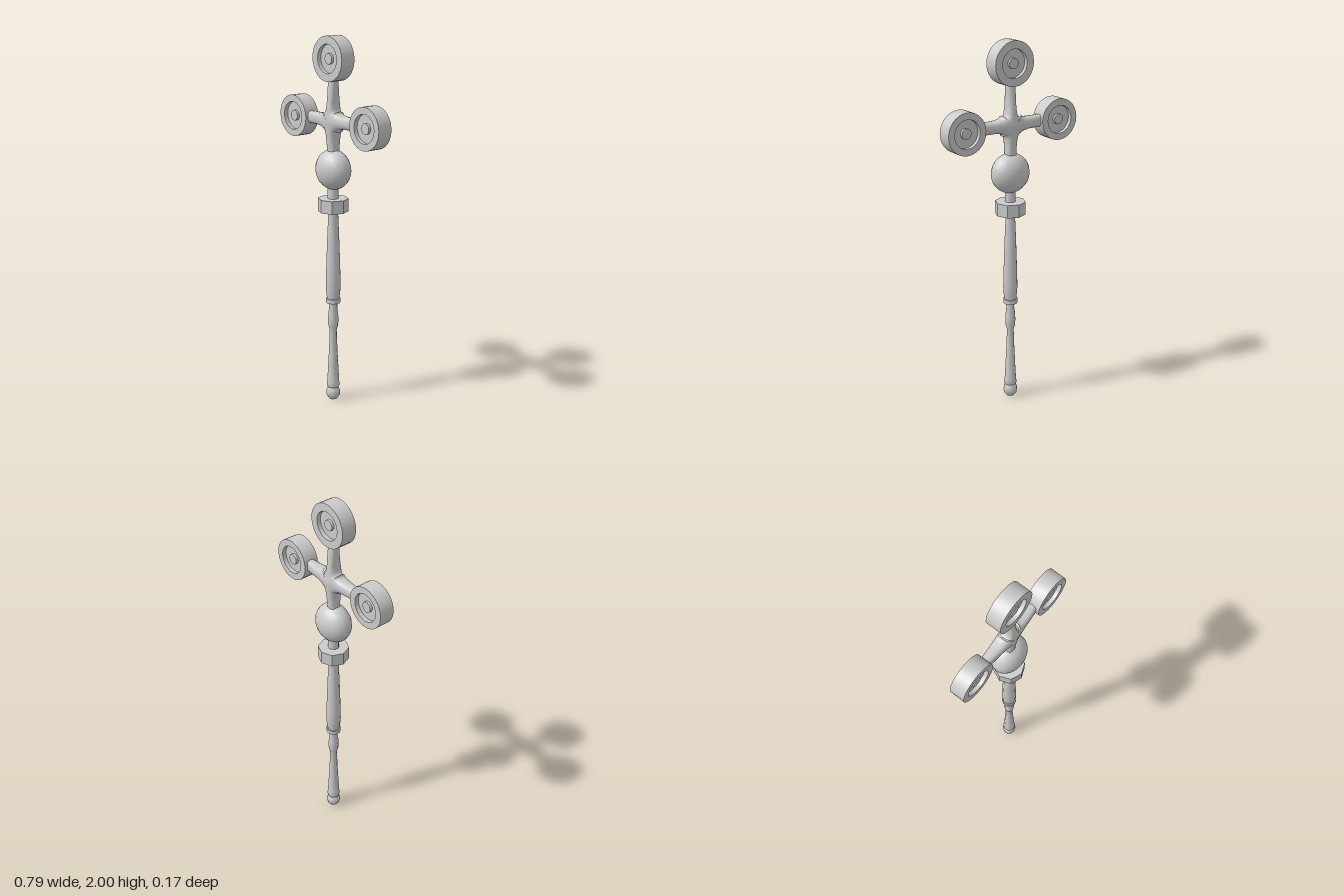
import * as THREE from 'three';
import { toCreasedNormals } from 'three/addons/utils/BufferGeometryUtils.js';

const material = new THREE.MeshStandardMaterial({ color: 0xcccccc });

function addMesh(parent, name, geometry, x = 0, y = 0, z = 0) {
  const mesh = new THREE.Mesh(geometry, material);
  mesh.name = name;
  mesh.position.set(x, y, z);
  parent.add(mesh);
  return mesh;
}

// Turned part: profile of [radius, height] pairs, bottom to top
function turned(profile, sides, crease = 0.85) {
  const points = profile.map(([r, y]) => new THREE.Vector2(r, y));
  return toCreasedNormals(new THREE.LatheGeometry(points, sides), crease);
}

// Disc facing z, with a recessed ring and a central boss on both faces
function discGeometry(radius) {
  const half = [[0, 0.034], [0.028, 0.034], [0.028, 0.02], [0.075, 0.02], [0.075, 0.042], [radius, 0.042]];
  const bottom = half.map(([r, y]) => [r, -y]);
  return turned([...bottom, ...half.reverse()], 28, 0.6).rotateX(Math.PI / 2);
}

// One arm of the cross along +y: rounded sections flaring to a mitred centre
function armGeometry(length, endWidth, endDepth) {
  const sides = 16, steps = 12, flare = 0.075;
  const start = endWidth + flare * (1 - Math.SQRT1_2);
  const round = (v) => Math.sign(v) * Math.pow(Math.abs(v), 0.7);
  const positions = [], index = [];
  for (let i = 0; i <= steps; i++) {
    const bend = Math.min(i / (steps - 3), 1);
    const d = i <= steps - 3
      ? start + bend * flare * Math.SQRT1_2
      : THREE.MathUtils.lerp(start + flare * Math.SQRT1_2, length, (i - steps + 3) / 3);
    // Quarter-round fillet between neighbouring arms
    const c = Math.max(0, endWidth + flare - d);
    const width = endWidth + flare - Math.sqrt(Math.max(0, flare * flare - c * c));
    const w = i === 0 ? start : width;
    for (let j = 0; j < sides; j++) {
      const a = (j / sides) * Math.PI * 2;
      const u = w * round(Math.cos(a));
      // The first ring follows the diagonal mitre
      const along = THREE.MathUtils.lerp(Math.abs(u), d, i === 0 ? 0 : Math.min(1, 0.3 + bend));
      const depth = THREE.MathUtils.lerp(0.045, endDepth, Math.min(1, along / length));
      positions.push(u, along, depth * round(Math.sin(a)));
      if (i < steps) {
        const p = i * sides + j, q = i * sides + (j + 1) % sides;
        index.push(p, p + sides, q, q, p + sides, q + sides);
      }
    }
  }
  const geometry = new THREE.BufferGeometry();
  geometry.setAttribute('position', new THREE.Float32BufferAttribute(positions, 3));
  geometry.setIndex(index);
  return toCreasedNormals(geometry, 0.9);
}

export function createModel() {
  const model = new THREE.Group();
  model.name = 'scepter';

  // Handle: pommel, slim grip, swelling and band
  addMesh(model, 'pommel', turned([
    [0, 0], [0.022, 0.006], [0.036, 0.026], [0.039, 0.043], [0.036, 0.06], [0.025, 0.08], [0, 0.082],
  ], 10));
  addMesh(model, 'lowerGrip', turned([
    [0, 0.077], [0.032, 0.077], [0.036, 0.088], [0.033, 0.11], [0.028, 0.2], [0.023, 0.3],
    [0.019, 0.41], [0.026, 0.435], [0.029, 0.465], [0.027, 0.5], [0.022, 0.54], [0.024, 0.575],
  ], 10));
  addMesh(model, 'gripBand', turned([
    [0, 0.57], [0.04, 0.57], [0.04, 0.594], [0, 0.594],
  ], 10, 0.7));
  addMesh(model, 'upperGrip', turned([
    [0.033, 0.59], [0.037, 0.62], [0.04, 0.66], [0.039, 0.72], [0.035, 0.85], [0.03, 0.98], [0.025, 1.09],
  ], 10));

  // Eight-sided collar and neck
  addMesh(model, 'collar', turned([
    [0, 1.08], [0.082, 1.08], [0.082, 1.15], [0, 1.15],
  ], 8, 0.3));
  addMesh(model, 'neck', new THREE.CylinderGeometry(0.029, 0.029, 0.08, 10), 0, 1.18, 0);

  // Flattened ball
  const ball = addMesh(model, 'ball', new THREE.SphereGeometry(1, 20, 14), 0, 1.305, 0);
  ball.scale.set(0.11, 0.107, 0.083);

  // Cross with flared arms
  const cross = new THREE.Group();
  cross.name = 'cross';
  cross.position.y = 1.562;
  model.add(cross);
  const arms = [
    ['topArm', 0, 0.225, 0.023, 0.023],
    ['leftArm', -Math.PI / 2, 0.19, 0.032, 0.025],
    ['bottomArm', Math.PI, 0.175, 0.028, 0.028],
    ['rightArm', Math.PI / 2, 0.19, 0.032, 0.025],
  ];
  for (const [name, angle, length, width, depth] of arms) {
    addMesh(cross, name, armGeometry(length, width, depth)).rotation.z = angle;
  }

  // Discs at the ends of the arms
  addMesh(model, 'topDisc', discGeometry(0.117), 0, 1.883, 0);
  for (const [name, side] of [['leftDisc', 1], ['rightDisc', -1]]) {
    addMesh(model, name, discGeometry(0.111), side * 0.286, 1.56, 0);
  }
  return model;
}
